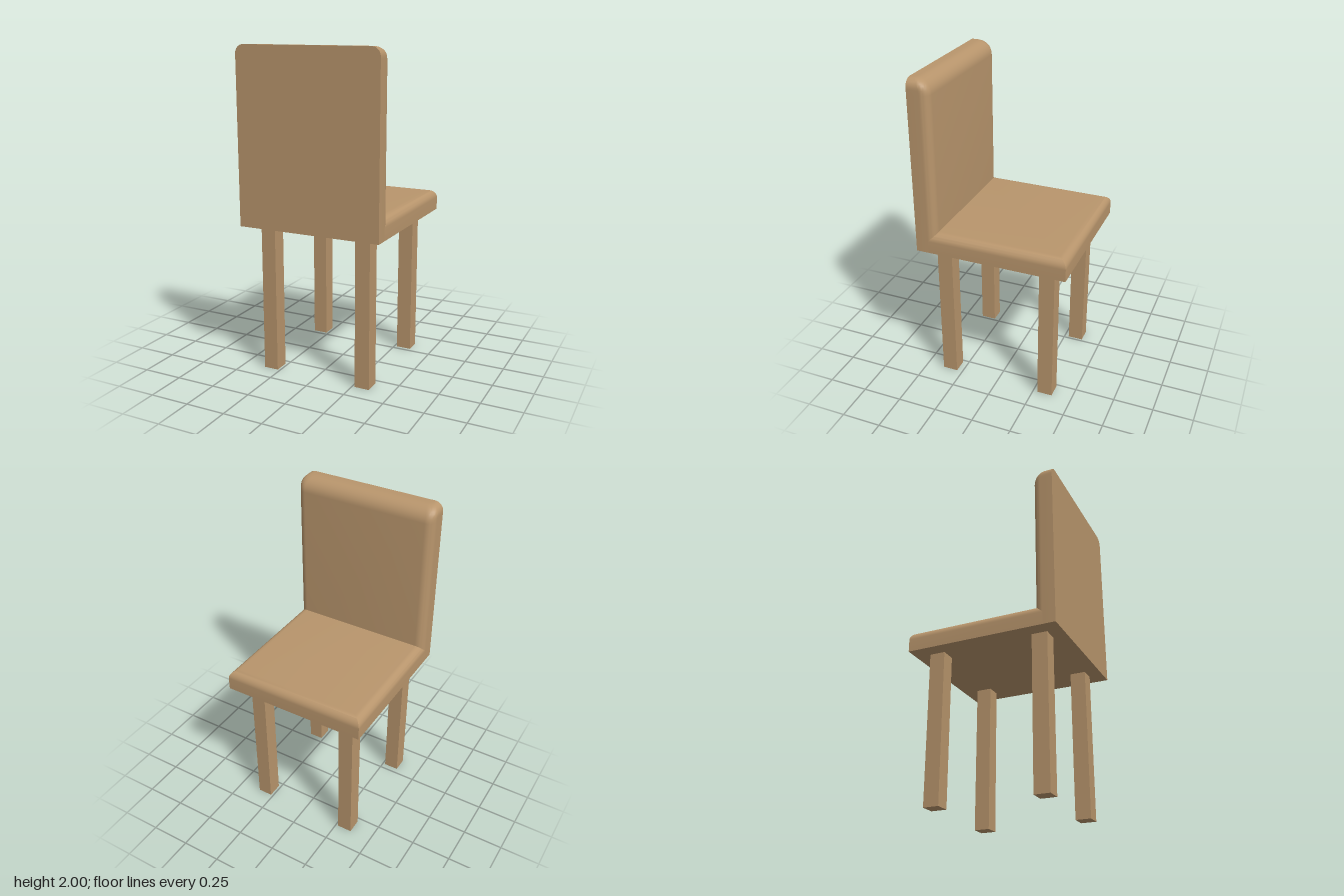
import * as THREE from 'three';
import { toCreasedNormals } from 'three/addons/utils/BufferGeometryUtils.js';

const HALF_W = 0.452, BACK = 0.472, FRONT = -0.47;
const SEAT_BOTTOM = 0.93, SEAT_TOP = 1.06, REST_FRONT = 0.342;
const EDGE = 0.053, TOP_EDGE = 0.09, STEPS = 10;

// Inset of a quarter-round edge of radius r, d below the top.
const inset = (d, r) => (d >= r ? 0 : r - Math.sqrt(r * r - (r - d) ** 2));

// Heights from bottom to top, closely spaced along the rounded edge.
function heights(bottom, top, r) {
  const ys = [bottom];
  for (let i = 0; i <= STEPS; i++) ys.push(top - r + r * Math.sin((i / STEPS) * Math.PI / 2));
  return ys;
}

// Joins convex [x, y, z] loops, listed upward and counter-clockwise from above.
function loft(loops) {
  const pos = [];
  const tri = (a, b, c) => pos.push(...a, ...b, ...c);
  const n = loops[0].length;
  for (let k = 0; k + 1 < loops.length; k++) {
    for (let i = 0; i < n; i++) {
      const j = (i + 1) % n, lo = loops[k], hi = loops[k + 1];
      tri(lo[i], lo[j], hi[j]);
      tri(lo[i], hi[j], hi[i]);
    }
  }
  const first = loops[0], last = loops[loops.length - 1];
  for (let i = 1; i + 1 < n; i++) {
    tri(first[0], first[i + 1], first[i]);
    tri(last[0], last[i], last[i + 1]);
  }
  const geo = new THREE.BufferGeometry();
  geo.setAttribute('position', new THREE.Float32BufferAttribute(pos, 3));
  return toCreasedNormals(geo, 0.55);
}

// Seat slab: upper front and side edges rounded, meeting in mitred corners.
function seatGeometry() {
  const back = REST_FRONT + EDGE;
  return loft(heights(SEAT_BOTTOM, SEAT_TOP, EDGE).map((y) => {
    const d = inset(SEAT_TOP - y, EDGE);
    const w = HALF_W - d, f = FRONT + d;
    return [[-w, y, back], [w, y, back], [w, y, f], [-w, y, f]];
  }));
}

// Backrest: flat behind, rounded towards the seat and along the top.
function backrestGeometry() {
  const plan = [[-HALF_W, BACK], [HALF_W, BACK]];
  for (const side of [1, -1]) {
    for (let i = 0; i <= STEPS; i++) {
      const a = ((side > 0 ? i : STEPS - i) / STEPS) * Math.PI / 2;
      plan.push([
        side * (HALF_W - EDGE + EDGE * Math.cos(a)),
        REST_FRONT + EDGE - EDGE * Math.sin(a),
      ]);
    }
  }
  return loft(heights(SEAT_BOTTOM, 2, TOP_EDGE).map((y) => {
    const sx = 1 - inset(2 - y, EDGE) / HALF_W;
    const sz = 1 - inset(2 - y, TOP_EDGE) / (BACK - REST_FRONT);
    return plan.map(([x, z]) => [x * sx, y, BACK + (z - BACK) * sz]);
  }));
}

export function createModel() {
  const wood = new THREE.MeshStandardMaterial({ color: 0xb8956c });
  wood.name = 'wood';
  const chair = new THREE.Group();
  chair.name = 'chair';

  const add = (name, geometry) => {
    const mesh = new THREE.Mesh(geometry, wood);
    mesh.name = name;
    chair.add(mesh);
    return mesh;
  };

  add('seat', seatGeometry());
  add('backrest', backrestGeometry());

  // Four square legs.
  const leg = new THREE.BoxGeometry(0.093, SEAT_BOTTOM, 0.096);
  for (const [end, z] of [['backrestLeg', 0.336], ['seatEdgeLeg', -0.326]]) {
    for (const [side, x] of [['Left', 0.313], ['Right', -0.313]]) {
      add(end + side, leg).position.set(x, SEAT_BOTTOM / 2, z);
    }
  }
  return chair;
}
